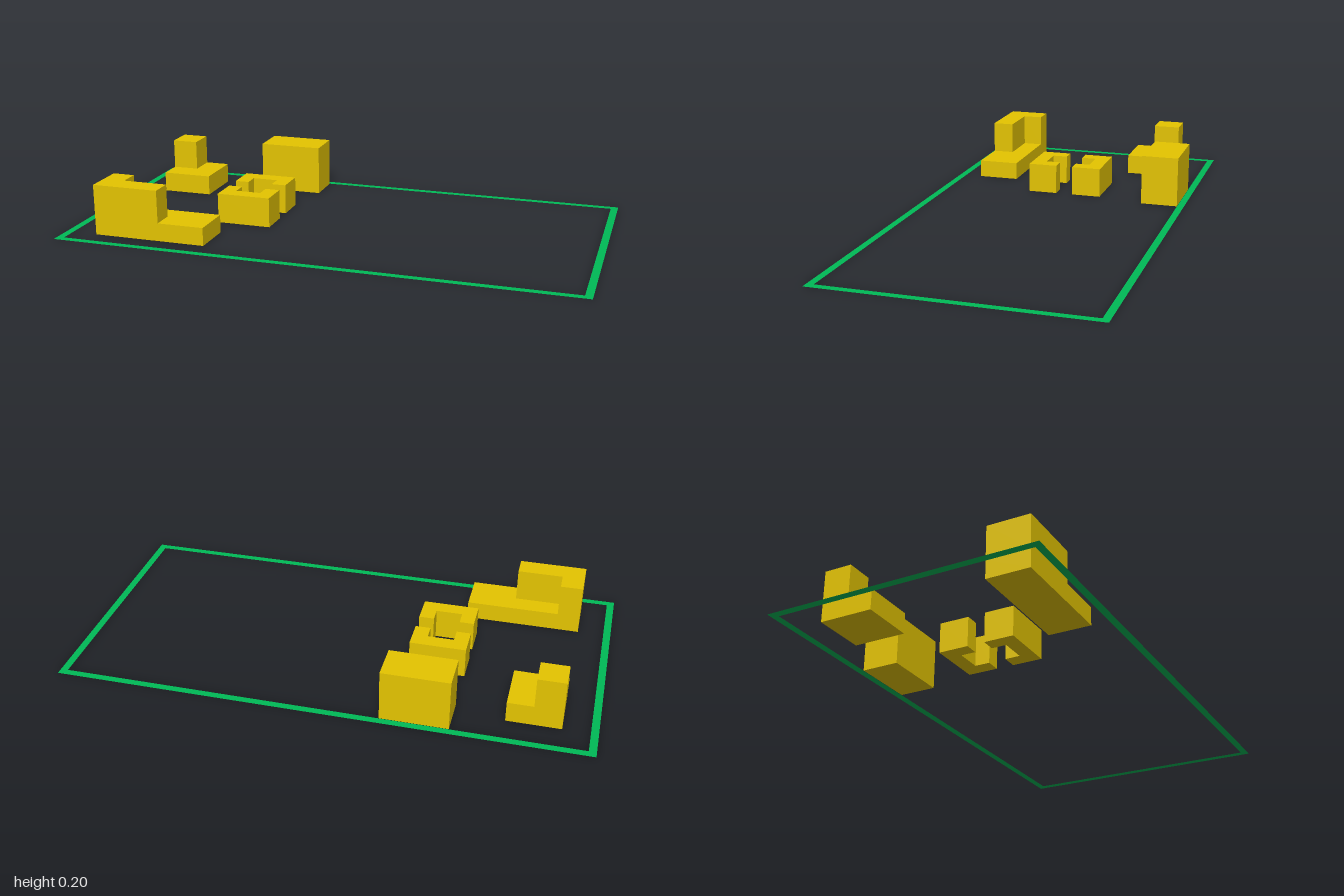
import * as THREE from 'three';

// Shape from [x, z] plan points
const plan = (pts) => new THREE.Shape(pts.map(([x, z]) => new THREE.Vector2(x, -z)));

const rect = (x0, x1, z0, z1) => [[x0, z0], [x0, z1], [x1, z1], [x1, z0]];

export function createModel() {
  const yellow = new THREE.MeshStandardMaterial({ color: 0xe4c400 });
  yellow.name = 'building yellow';
  const green = new THREE.MeshStandardMaterial({ color: 0x00b956, side: THREE.DoubleSide });
  green.name = 'border green';

  const model = new THREE.Group();
  model.name = 'sitePlan';

  // Upright block from a plan outline, between heights y0 and y1
  function block(parent, name, pts, y0, y1) {
    const geo = new THREE.ExtrudeGeometry(plan(pts), { depth: y1 - y0, bevelEnabled: false });
    geo.rotateX(-Math.PI / 2).translate(0, y0, 0);
    const mesh = new THREE.Mesh(geo, yellow);
    mesh.name = name;
    parent.add(mesh);
  }

  function group(name) {
    const g = new THREE.Group();
    g.name = name;
    model.add(g);
    return g;
  }

  // Flat border around the site
  const outline = plan(rect(-1, 1, -0.513, 0.513));
  outline.holes.push(plan(rect(-0.972, 0.972, -0.486, 0.486)));
  const border = new THREE.Mesh(new THREE.ShapeGeometry(outline).rotateX(-Math.PI / 2), green);
  border.name = 'siteBorder';
  model.add(border);

  // Plain block at the back
  block(model, 'backBlock', rect(-0.486, -0.233, -0.485, -0.339), 0, 0.197);

  // Square podium with a corner tower
  const tower = group('towerBuilding');
  block(tower, 'podium', rect(-0.872, -0.671, -0.387, -0.184), 0, 0.079);
  block(tower, 'cornerTower', rect(-0.872, -0.768, -0.387, -0.28), 0.079, 0.197);

  // Two U-shaped buildings whose courtyards face each other
  const courtyard = (outer, inner, open) => [
    [-0.486, outer], [-0.273, outer], [-0.273, open], [-0.331, open],
    [-0.331, inner], [-0.431, inner], [-0.431, open], [-0.486, open],
  ];
  block(model, 'backCourtyardBuilding', courtyard(-0.156, -0.097, -0.039), 0, 0.117);
  block(model, 'frontCourtyardBuilding', courtyard(0.145, 0.087, 0.029), 0, 0.117);

  // Long low base carrying an L-shaped upper storey
  const long = group('longBuilding');
  block(long, 'lowBase', rect(-0.873, -0.43, 0.255, 0.418), 0, 0.07);
  block(long, 'upperStorey', [
    [-0.873, 0.255], [-0.873, 0.418], [-0.612, 0.418],
    [-0.612, 0.333], [-0.787, 0.333], [-0.787, 0.255],
  ], 0.07, 0.197);

  return model;
}
